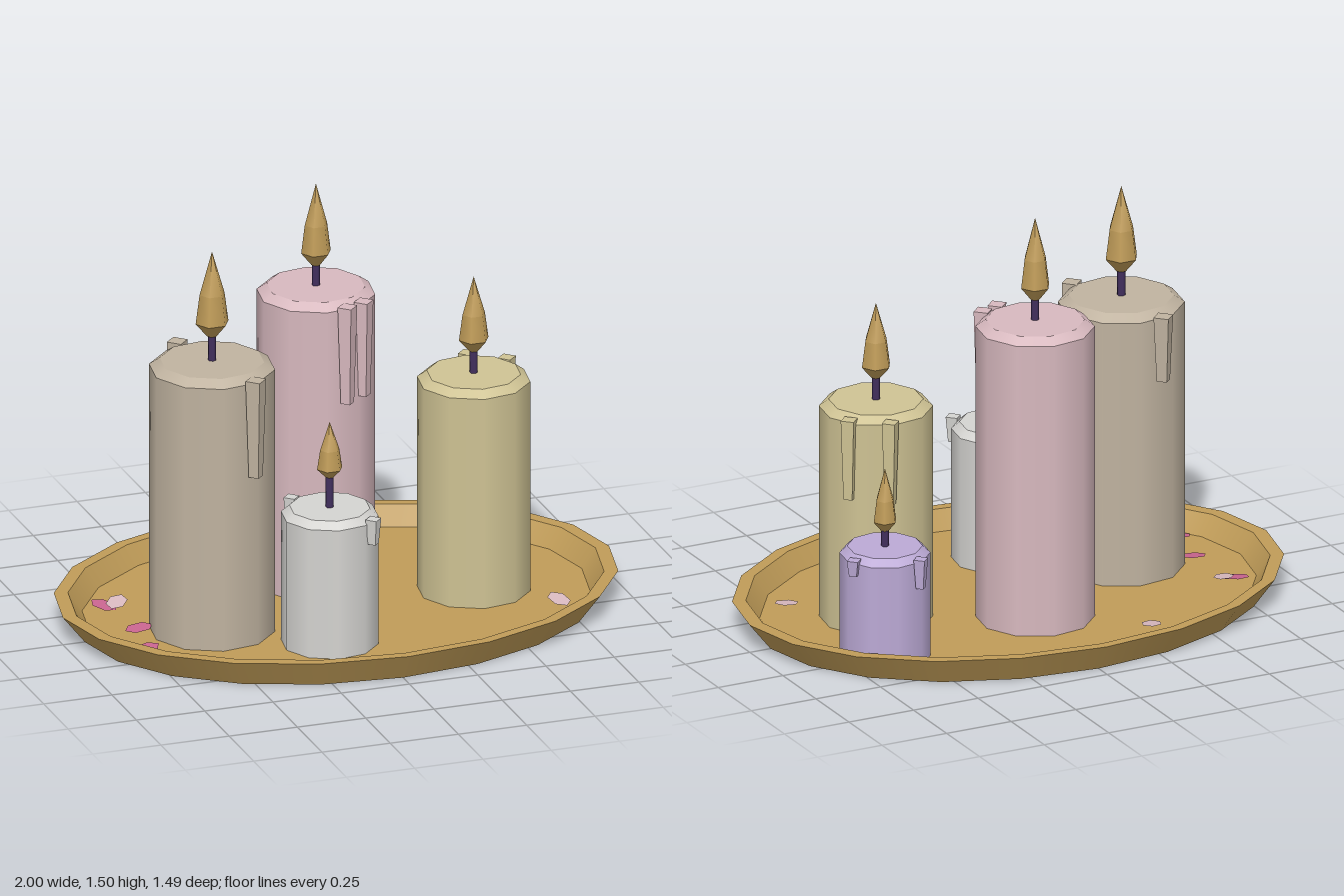
import * as THREE from 'three';
import { mergeGeometries } from 'three/addons/utils/BufferGeometryUtils.js';

const mat = (name, color) => {
  const m = new THREE.MeshStandardMaterial({ color, side: THREE.DoubleSide });
  m.name = name;
  return m;
};

// Turned solid: smooth around the axis, sharp at every ring of the profile
function turned(profile, sides, turn = Math.PI / 2) {
  const bands = [];
  for (let i = 0; i < profile.length - 1; i++) {
    const points = [profile[i], profile[i + 1]].map(([r, y]) => new THREE.Vector2(r, y));
    const band = new THREE.LatheGeometry(points, sides, turn);
    band.normalizeNormals();
    bands.push(band);
  }
  return mergeGeometries(bands);
}

export function createModel() {
  const model = new THREE.Group();
  model.name = 'candleTray';
  const gold = mat('gold', 0xc09c58);
  const wickPurple = mat('wickPurple', 0x43305f);
  const pink = mat('pinkWax', 0xd8b9bf);
  const beige = mat('beigeWax', 0xc0b3a0);
  const yellow = mat('yellowWax', 0xcfc394);
  const white = mat('whiteWax', 0xd5d4d1);
  const lilac = mat('lilacWax', 0xbcaad6);
  const magenta = mat('magentaPetal', 0xc8648f);

  const add = (parent, name, geometry, material, x = 0, y = 0, z = 0) => {
    const mesh = new THREE.Mesh(geometry, material);
    mesh.name = name;
    mesh.position.set(x, y, z);
    parent.add(mesh);
    return mesh;
  };

  // Oval tray with a raised, flared rim
  const floor = 0.03;
  const tray = add(model, 'tray', turned(
    [[0, 0], [0.92, 0], [1, 0.1], [0.95, 0.1], [0.9, floor], [0, floor]], 20), gold);
  tray.scale.z = 0.745;

  // Candles; drips are [x, z, bottom] in tray coordinates
  const candles = [
    { name: 'pinkCandle', wax: pink, x: 0, z: -0.205, r: 0.206, h: 1.125, flame: [1.2, 1.5, 0.054],
      dripR: 0.036, drips: [[0.04, 0.005, 0.76], [0.11, -0.025, 0.77]] },
    { name: 'beigeCandle', wax: beige, x: -0.49, z: 0.1, r: 0.219, h: 1.025, flame: [1.115, 1.427, 0.06],
      dripR: 0.038, drips: [[-0.405, 0.31, 0.66], [-0.535, -0.13, 0.78]] },
    { name: 'yellowCandle', wax: yellow, x: 0.487, z: 0.048, r: 0.197, h: 0.83, flame: [0.91, 1.185, 0.054],
      dripR: 0.033, drips: [[0.65, -0.068, 0.53], [0.535, -0.155, 0.52]] },
    { name: 'whiteCandle', wax: white, x: -0.15, z: 0.353, r: 0.169, h: 0.53, flame: [0.64, 0.845, 0.046],
      dripR: 0.029, drips: [[-0.04, 0.493, 0.43], [-0.235, 0.2, 0.4]] },
    { name: 'lilacCandle', wax: lilac, x: 0.633, z: -0.305, r: 0.157, h: 0.435, flame: [0.49, 0.72, 0.043],
      dripR: 0.028, drips: [[0.572, -0.457, 0.32], [0.782, -0.362, 0.37]] },
  ];
  for (const { name, wax, x, z, r, h, flame: [base, tip, fr], dripR, drips } of candles) {
    const candle = new THREE.Group();
    candle.name = name;
    candle.position.set(x, 0, z);
    model.add(candle);

    add(candle, 'waxBody', turned(
      [[r, floor], [r, h - 0.025], [r * 0.83, h], [0, h]], 10, Math.PI * 0.55), wax);

    const wickLength = base + 0.02 - h;
    add(candle, 'wick', new THREE.CylinderGeometry(0.014, 0.014, wickLength, 6),
      wickPurple, 0, h + wickLength / 2, 0);

    const at = t => base + (tip - base) * t;
    add(candle, 'flame', turned(
      [[0, base], [fr * 0.3, base], [fr, at(0.16)], [fr * 0.76, at(0.5)], [0, tip]], 6), gold);

    // Tapered four-sided wax runs down the side
    for (const [dx, dz, bottom] of drips) {
      const top = h - 0.008;
      const drip = new THREE.CylinderGeometry(dripR, dripR * 0.68, top - bottom, 4).toNonIndexed();
      drip.computeVertexNormals();
      add(candle, 'waxDrip', drip, wax, dx - x, (top + bottom) / 2, dz - z);
    }
  }

  // Scattered petals lying on the tray: [x, z, turn, lift, material]
  const petalShape = new THREE.CircleGeometry(1, 6);
  petalShape.scale(0.052, 0.036, 1);
  petalShape.rotateX(-Math.PI / 2);
  const petals = [
    [-0.31, -0.48, 1.2, 0.012, pink],
    [0.72, 0.27, 1.8, 0.012, pink],
    [-0.775, -0.21, 2.2, 0.01, magenta],
    [-0.73, -0.205, 0.9, 0.018, pink],
    [-0.735, 0.035, 0.1, 0.012, magenta],
    [-0.775, 0.225, 0.3, 0.012, magenta],
  ];
  for (const [x, z, turn, lift, material] of petals) {
    add(model, 'petal', petalShape, material, x, floor + lift, z).rotation.set(0.08, turn, 0.08);
  }
  return model;
}
